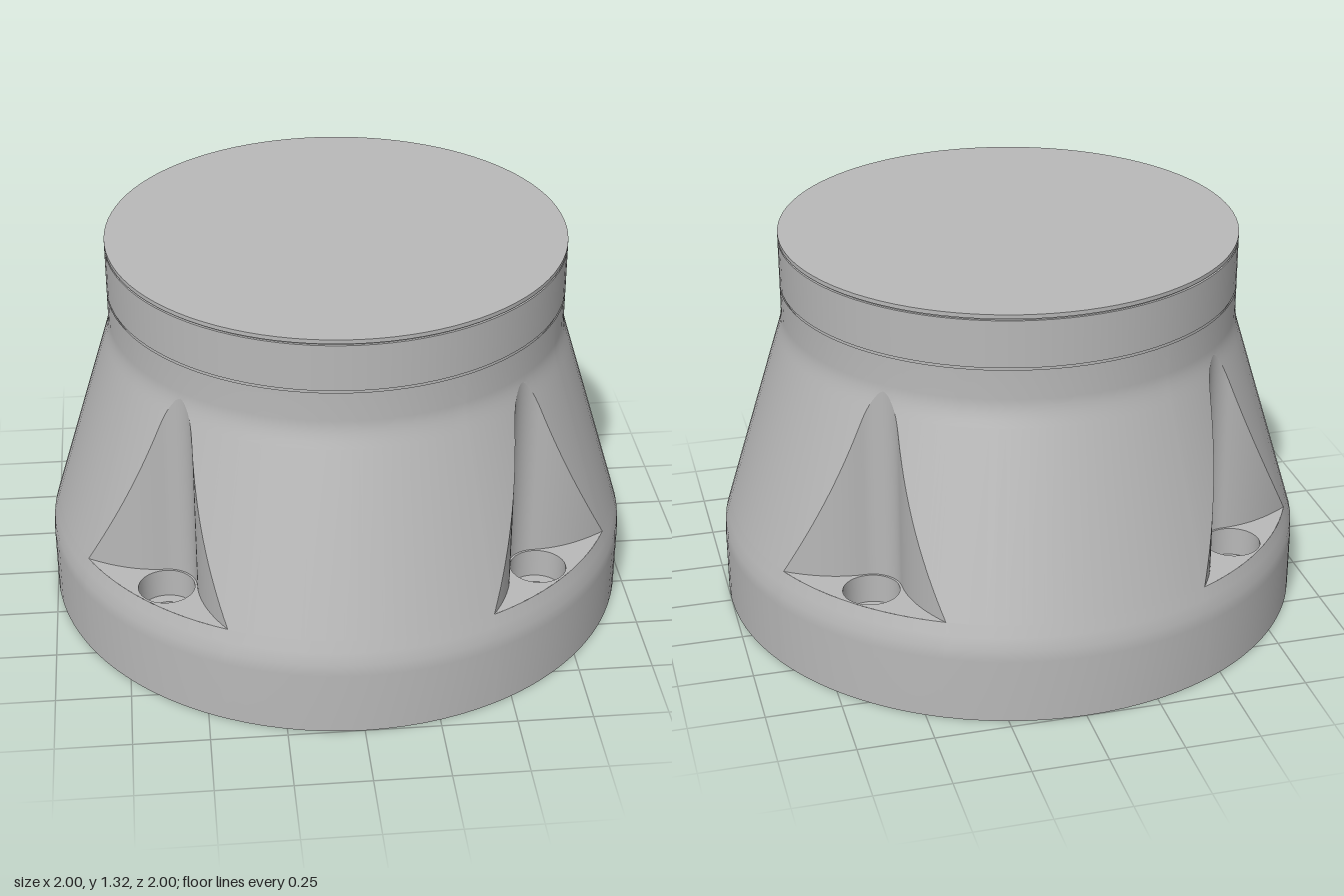
import * as THREE from 'three';

const FLOOR = 0.34;              // height of the pocket floors
const HOLE = 0.617;              // bolt centre, same in x and z
const BORE = 0.093, BOLT = 0.055;

// Body profile as [radius, height]
const LOWER = [[1, 0], [1, 0.22], [0.997, 0.26], [0.985, 0.30], [0.973, FLOOR]];
const UPPER = [[0.973, FLOOR], [0.79, 0.94], [0.783, 0.963], [0.777, 0.985],
  [0.773, 1.005], [0.77, 1.03], [0.77, 1.13]];

// Linear lookup in the upper profile: by height (key 1) or by radius (key 0)
function lookup(value, key) {
  for (let i = 1; i < UPPER.length; i++) {
    const a = UPPER[i - 1], b = UPPER[i];
    const t = (value - a[key]) / (b[key] - a[key]);
    if (t <= 1) return THREE.MathUtils.lerp(a[1 - key], b[1 - key], Math.max(0, t));
  }
  return UPPER[UPPER.length - 1][1 - key];
}

// Plan outline of one pocket: flared side, round back, flared side
function pocketOutline() {
  const V = (x, z) => new THREE.Vector2(x, z);
  const tip = Math.sqrt(0.973 ** 2 - 0.43 ** 2), back = HOLE - 0.1;
  const side = new THREE.QuadraticBezierCurve(V(tip, 0.43), V(0.74, back), V(HOLE, back)).getPoints(14);
  const round = [];
  for (let i = 1; i < 16; i++) {
    const a = -Math.PI / 2 - (i / 16) * Math.PI / 2;
    round.push(V(HOLE + 0.1 * Math.cos(a), HOLE + 0.1 * Math.sin(a)));
  }
  const mirrored = side.map((p) => V(p.y, p.x)).reverse();
  return [...side, ...round, ...mirrored];
}

// Surface over columns (angles) and rows (heights)
function skin(columns, rows, point, closed) {
  const pos = [], index = [], n = columns.length;
  for (const c of columns) {
    for (let r = 0; r < rows; r++) {
      const [radius, y] = point(c, r);
      pos.push(radius * Math.cos(c.a), y, radius * Math.sin(c.a));
    }
  }
  for (let c = 0; c < (closed ? n : n - 1); c++) {
    for (let r = 0; r < rows - 1; r++) {
      const p = c * rows + r, q = ((c + 1) % n) * rows + r;
      index.push(p, p + 1, q, q, p + 1, q + 1);
    }
  }
  const g = new THREE.BufferGeometry();
  g.setAttribute('position', new THREE.Float32BufferAttribute(pos, 3));
  g.setIndex(index);
  g.computeVertexNormals();
  return g;
}

export function createModel() {
  const model = new THREE.Group();
  model.name = 'flangedHousing';
  const grey = new THREE.MeshStandardMaterial({ color: 0xb8b8b8, side: THREE.DoubleSide });
  grey.name = 'plain grey';

  const add = (parent, name, geometry, x = 0, y = 0, z = 0) => {
    const mesh = new THREE.Mesh(geometry, grey);
    mesh.name = name;
    mesh.position.set(x, y, z);
    parent.add(mesh);
    return mesh;
  };

  // Columns around the body; pocket columns start where the wall meets the cone
  const outline = pocketOutline();
  const pocket = outline.map((p) => ({
    a: Math.atan2(p.y, p.x), wall: p.length(), start: lookup(p.length(), 0),
  }));
  const columns = [];
  const first = pocket[0].a, last = pocket[pocket.length - 1].a;
  const gap = first + Math.PI / 2 - last, steps = 14;
  for (let k = 0; k < 4; k++) {
    const turn = k * Math.PI / 2;
    for (const c of pocket) columns.push({ ...c, a: c.a + turn });
    for (let i = 1; i < steps; i++) columns.push({ a: last + turn + gap * i / steps, start: FLOOR });
  }

  // Main body
  add(model, 'baseRim', skin(columns, LOWER.length, (c, r) => LOWER[r], true));
  add(model, 'taperedBody', skin(columns, UPPER.length, (c, r) => {
    const y = Math.max(c.start, UPPER[r][1]);
    return [lookup(y, 1), y];
  }, true));
  add(model, 'underside', new THREE.CircleGeometry(1, 96).rotateX(Math.PI / 2));

  // Neck collar with two fine grooves and a flat lid
  const disc = (name, radius, y0, y1) =>
    add(model, name, new THREE.CylinderGeometry(radius, radius, y1 - y0, 96), 0, (y0 + y1) / 2, 0);
  disc('lowerGroove', 0.762, 1.12, 1.15);
  disc('collar', 0.77, 1.137, 1.295);
  disc('upperGroove', 0.762, 1.28, 1.31);
  disc('lid', 0.77, 1.301, 1.315);

  // Pocket floor with the bolt hole cut out
  const floorShape = new THREE.Shape();
  outline.forEach((p, i) => (i ? floorShape.lineTo(p.x, -p.y) : floorShape.moveTo(p.x, -p.y)));
  for (let i = 1; i < 12; i++) {
    const a = last + (first - last) * i / 12;
    floorShape.lineTo(0.973 * Math.cos(a), -0.973 * Math.sin(a));
  }
  floorShape.holes.push(new THREE.Path().absarc(HOLE, -HOLE, BORE, 0, Math.PI * 2, true));
  const floor = new THREE.ShapeGeometry(floorShape, 20).rotateX(-Math.PI / 2);
  const wall = skin(pocket, 2, (c, r) => [c.wall, r ? c.start : FLOOR], false);

  // Four bolt pockets, one per diagonal
  const seat = 0.24, depth = 0.12;
  for (let k = 0; k < 4; k++) {
    const group = new THREE.Group();
    group.name = 'boltPocket' + (k + 1);
    group.rotation.y = k * Math.PI / 2;
    model.add(group);
    add(group, 'pocketWall', wall);
    add(group, 'pocketFloor', floor, 0, FLOOR, 0);
    add(group, 'counterbore', new THREE.CylinderGeometry(BORE, BORE, FLOOR - seat, 40, 1, true),
      HOLE, (FLOOR + seat) / 2, HOLE);
    add(group, 'boltSeat', new THREE.RingGeometry(BOLT, BORE, 40).rotateX(-Math.PI / 2), HOLE, seat, HOLE);
    add(group, 'boltHole', new THREE.CylinderGeometry(BOLT, BOLT, seat - depth, 40, 1, true),
      HOLE, (seat + depth) / 2, HOLE);
    add(group, 'boltHoleEnd', new THREE.CircleGeometry(BOLT, 40).rotateX(-Math.PI / 2), HOLE, depth, HOLE);
  }
  return model;
}
